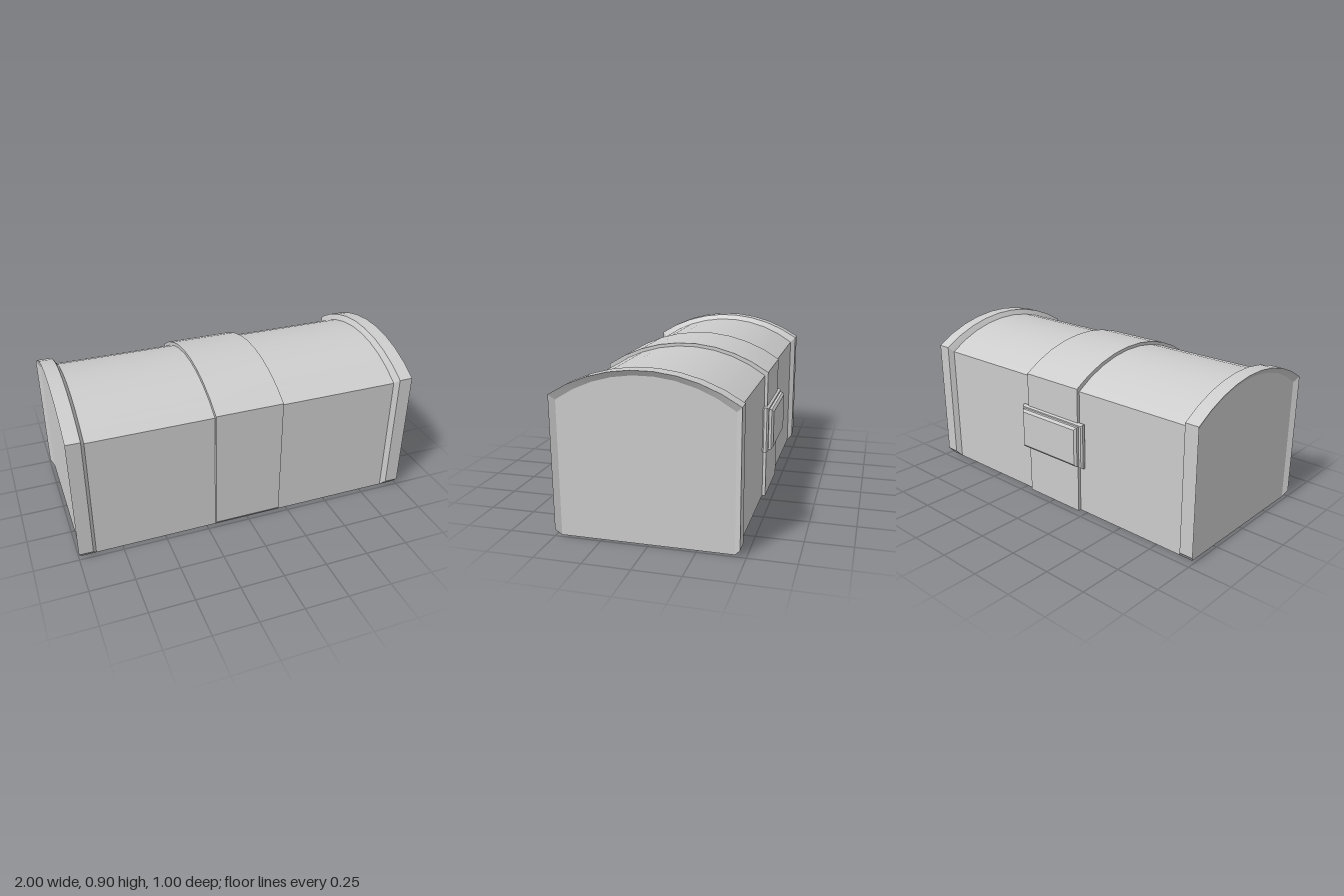
import * as THREE from 'three';
import { toCreasedNormals } from 'three/addons/utils/BufferGeometryUtils.js';

const CENTRE_Z = 0.015;
const material = new THREE.MeshStandardMaterial({ color: 0xcccccc });

// Skin a row of equal-sized convex loops and cap both ends.
function loft(name, rings) {
  const n = rings[0].length;
  const pos = rings.flat(2);
  let tris = [];
  for (let r = 0; r < rings.length - 1; r++) {
    for (let i = 0; i < n; i++) {
      const a = r * n + i, b = r * n + (i + 1) % n;
      tris.push([a, b, b + n], [a, b + n, a + n]);
    }
  }
  const last = (rings.length - 1) * n;
  for (let i = 1; i < n - 1; i++) {
    tris.push([0, i + 1, i], [last, last + i, last + i + 1]);
  }
  // turn the faces outward if the enclosed volume is negative
  const at = (i) => new THREE.Vector3().fromArray(pos, i * 3);
  const volume = tris.reduce((v, [a, b, c]) => v + at(a).dot(at(b).cross(at(c))), 0);
  if (volume < 0) tris = tris.map(([a, b, c]) => [a, c, b]);

  const geometry = new THREE.BufferGeometry();
  geometry.setAttribute('position', new THREE.Float32BufferAttribute(pos, 3));
  geometry.setIndex(tris.flat());
  const mesh = new THREE.Mesh(toCreasedNormals(geometry, 0.4), material);
  mesh.name = name;
  return mesh;
}

// Chest outline [z, y] from front foot over the arched lid to back foot.
function outline(offset, frontFoot, backFoot) {
  const half = 0.455 + offset, wallTop = 0.722 + offset, rise = 0.146;
  const radius = (half * half + rise * rise) / (2 * rise);
  const sweep = Math.asin(half / radius);
  const points = [[CENTRE_Z + half, frontFoot]];
  for (let i = 0; i <= 9; i++) {
    const a = sweep * (1 - 2 * i / 9);
    points.push([
      CENTRE_Z + radius * Math.sin(a),
      wallTop + rise - radius * (1 - Math.cos(a)),
    ]);
  }
  points.push([CENTRE_Z - half, backFoot]);
  return points;
}

// Raised band wrapped over the chest; x positions of its foot and its face.
function band(name, offset, foot, face, frontFoot, backFoot) {
  const inner = outline(0, 0, 0);
  const outer = outline(offset, frontFoot, backFoot);
  return loft(name, inner.map(([z, y], i) => {
    const [oz, oy] = outer[i];
    return [[foot[0], y, z], [face[0], oy, oz], [face[1], oy, oz], [foot[1], y, z]];
  }));
}

export function createModel() {
  const model = new THREE.Group();
  model.name = 'chest';

  // arched body
  const section = outline(0, 0, 0);
  model.add(loft('body', [-0.98, 0.98].map((x) => section.map(([z, y]) => [x, y, z]))));

  // bevelled end bands
  for (const [side, s] of [['left', 1], ['right', -1]]) {
    model.add(band(`${side}EndBand`, 0.029, [0.9 * s, 0.98 * s], [0.92 * s, s], 0.035, 0.035));
  }

  // middle strap
  model.add(band('middleStrap', 0.018, [-0.198, 0.195], [-0.198, 0.195], 0.024, 0));

  // stepped latch plate on the back: width, height, z
  const steps = [
    [0.455, 0.25, -0.435], [0.477, 0.264, -0.447], [0.477, 0.264, -0.463],
    [0.46, 0.252, -0.472], [0.43, 0.236, -0.472], [0.43, 0.236, -0.487],
    [0.405, 0.208, -0.498],
  ];
  const latch = loft('latchPlate', steps.map(([w, h, z]) =>
    [[1, 1], [-1, 1], [-1, -1], [1, -1]].map(([sx, sy]) => [sx * w / 2, sy * h / 2, z])));
  latch.position.set(-0.003, 0.412, 0);
  model.add(latch);

  return model;
}
